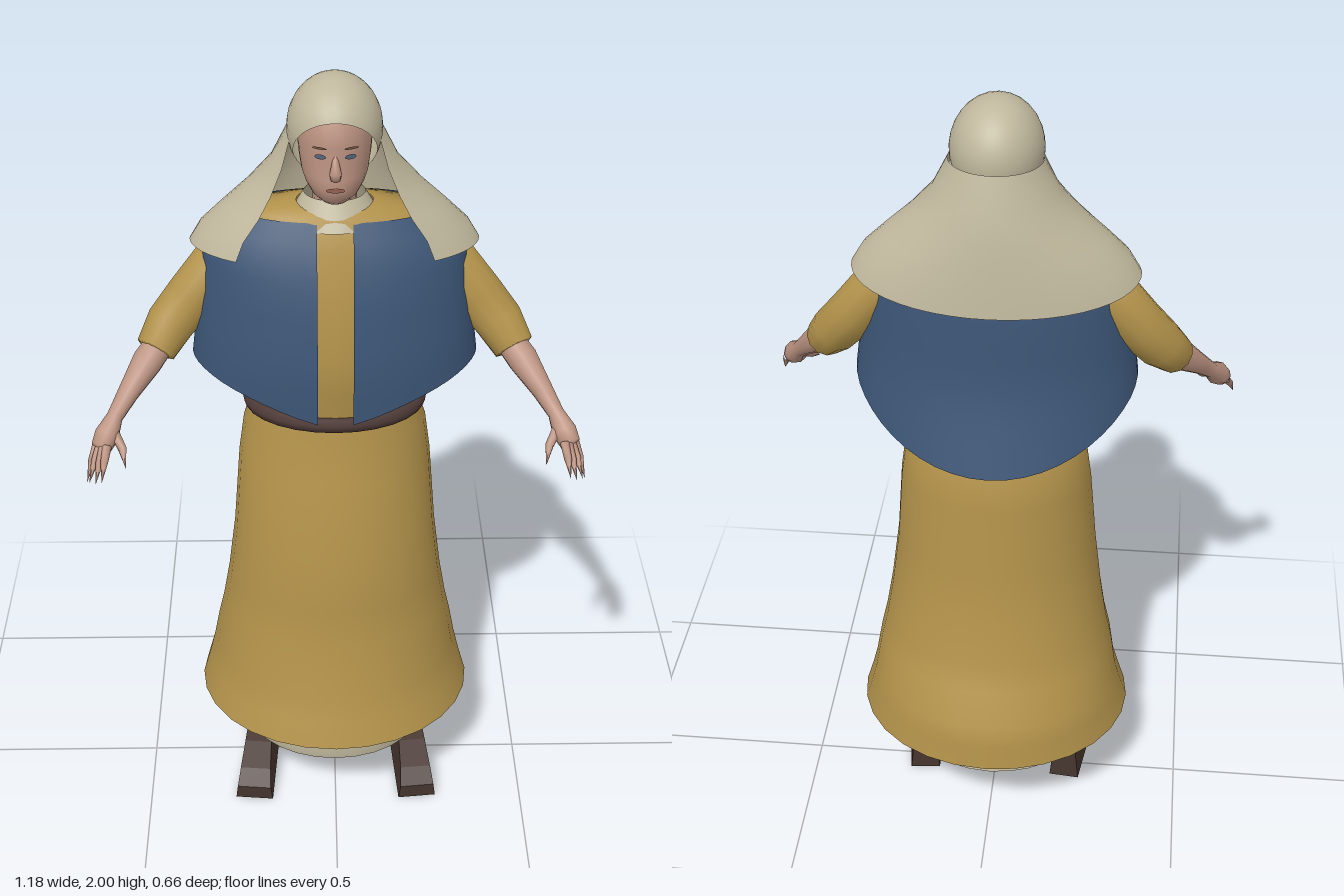
import * as THREE from 'three';

const mat = (name, color, side = THREE.FrontSide) => {
  const m = new THREE.MeshStandardMaterial({ color, side });
  m.name = name;
  return m;
};

// Surface through rows of points; rows run top to bottom, points counterclockwise from above
function loft(rows, closed = true) {
  const n = rows[0].length, pos = [], index = [];
  rows.forEach(r => r.forEach(p => pos.push(...p)));
  for (let i = 0; i < rows.length - 1; i++) {
    for (let j = 0; j < (closed ? n : n - 1); j++) {
      const k = (j + 1) % n, a = i * n + j, b = i * n + k, c = a + n, d = b + n;
      index.push(a, c, d, a, d, b);
    }
  }
  const g = new THREE.BufferGeometry();
  g.setAttribute('position', new THREE.Float32BufferAttribute(pos, 3));
  g.setIndex(index);
  g.computeVertexNormals();
  return g;
}

// Elliptical rings given as [y, half width, front z, back z]
function rings(list, sides = 28) {
  return loft(list.map(([y, rx, zf, zb]) => Array.from({ length: sides }, (_, j) => {
    const a = j / sides * Math.PI * 2;
    return [rx * Math.sin(a), y, (zf + zb) / 2 + (zf - zb) / 2 * Math.cos(a)];
  })));
}

// Tapered limb along points [x, y, z, radius]; s mirrors it in x
function limb(points, s = 1, sides = 10) {
  const P = points.map(p => new THREE.Vector3(p[0] * s, p[1], p[2]));
  return loft(P.map((p, i) => {
    const t = P[Math.min(i + 1, P.length - 1)].clone().sub(P[Math.max(i - 1, 0)]).normalize();
    const u = new THREE.Vector3(0, 0, 1).cross(t).normalize();
    const w = u.clone().cross(t);
    return Array.from({ length: sides }, (_, j) => {
      const a = j / sides * Math.PI * 2, r = points[i][3];
      return p.clone().addScaledVector(u, r * Math.cos(a)).addScaledVector(w, r * Math.sin(a)).toArray();
    });
  }));
}

// Interpolates a table of rows sorted by falling first entry
function sample(table, y) {
  let i = 0;
  while (i < table.length - 2 && table[i + 1][0] > y) i++;
  const f = THREE.MathUtils.clamp((y - table[i][0]) / (table[i + 1][0] - table[i][0]), 0, 1);
  return table[i].map((v, k) => v + (table[i + 1][k] - v) * f);
}

export function createModel() {
  const root = new THREE.Group();
  root.name = 'robedFigure';
  const D = THREE.DoubleSide;
  const gold = mat('gold cloth', 0xb3934b, D), cream = mat('cream linen', 0xbfb79c, D);
  const blue = mat('blue wool', 0x3b5474, D), skin = mat('skin', 0xbd9482);
  const leather = mat('dark leather', 0x46352f), strap = mat('belt leather', 0x4c3935);
  const iris = mat('eye', 0x53667a), lip = mat('lips', 0x94604f), brow = mat('brow', 0x765747);
  const add = (name, geo, m) => {
    const mesh = new THREE.Mesh(geo, m);
    mesh.name = name;
    root.add(mesh);
    return mesh;
  };

  // Skirt, underskirt, belt and bodice
  add('skirt', rings([[1.18, 0.2, 0.155, -0.14], [1.1, 0.226, 0.165, -0.175], [1.0, 0.24, 0.185, -0.195],
    [0.8, 0.256, 0.23, -0.2], [0.65, 0.275, 0.238, -0.225], [0.55, 0.292, 0.245, -0.25],
    [0.48, 0.308, 0.265, -0.27], [0.4, 0.322, 0.278, -0.318], [0.34, 0.337, 0.3, -0.325], [0.275, 0.356, 0.32, -0.332]]), gold);
  add('underskirt', rings([[0.42, 0.21, 0.19, -0.17], [0.28, 0.225, 0.205, -0.19],
    [0.2, 0.25, 0.222, -0.2], [0.15, 0.24, 0.215, -0.212]]), cream);
  add('belt', rings([[1.18, 0.19, 0.15, -0.13], [1.182, 0.218, 0.17, -0.15], [1.168, 0.227, 0.178, -0.157],
    [1.152, 0.222, 0.175, -0.155], [1.15, 0.2, 0.15, -0.14]]), strap);
  add('bodice', rings([[1.69, 0.09, 0.08, -0.06], [1.675, 0.2, 0.1, -0.09], [1.6, 0.25, 0.125, -0.11],
    [1.5, 0.24, 0.15, -0.12], [1.35, 0.19, 0.175, -0.12], [1.25, 0.178, 0.165, -0.12], [1.16, 0.185, 0.15, -0.13]]), gold);

  // Open-fronted cape with a hem that dips at front and back
  const capeShape = [[1.67, 0.235, 0.1, -0.1], [1.6, 0.31, 0.138, -0.13], [1.5, 0.32, 0.17, -0.145],
    [1.35, 0.338, 0.198, -0.16], [1.27, 0.348, 0.205, -0.178], [1.12, 0.35, 0.208, -0.225]];
  const capeRows = [];
  for (let i = 0; i <= 10; i++) {
    capeRows.push(Array.from({ length: 49 }, (_, j) => {
      const a = 0.14 + (j / 48) * (Math.PI * 2 - 0.28), c = Math.cos(a);
      const hem = c > 0 ? 1.175 + 0.125 * Math.abs(Math.sin(a)) : 1.3 - 0.18 * Math.pow(-c, 1.4);
      const y = THREE.MathUtils.lerp(1.67, hem, i / 10);
      const [, rx, zf, zb] = sample(capeShape, y);
      const x = j % 48 ? rx * Math.sin(a) : 0.042 * (j ? -1 : 1);
      return [x, y, (zf + zb) / 2 + (zf - zb) / 2 * c];
    }));
  }
  add('cape', loft(capeRows, false), blue);

  // Veil: [y, half width, front depth, back depth, front opening in degrees]
  const veilShape = [[1.865, 0.11, 0.14, 0.1, 65], [1.79, 0.148, 0.14, 0.128, 55], [1.73, 0.205, 0.142, 0.145, 46],
    [1.68, 0.262, 0.152, 0.155, 42], [1.63, 0.315, 0.168, 0.165, 42], [1.585, 0.342, 0.182, 0.172, 42]];
  add('veil', loft(veilShape.map(([y, rx, f, b, deg], i) => Array.from({ length: 37 }, (_, j) => {
    const a0 = deg * Math.PI / 180, a = a0 + (j / 36) * 2 * (Math.PI - a0), c = Math.cos(a);
    return [rx * Math.sin(a), y + Math.min(c, 0) * 0.045 * i / 5, -0.012 + (c > 0 ? f : b) * c];
  })), false), cream);

  // Rounded cap, open around the face
  const open = Math.PI / 3;
  const cap = new THREE.SphereGeometry(1, 28, 16, 0, Math.PI * 2, open, Math.PI - open);
  cap.rotateX(Math.PI / 2 + 0.61).scale(0.11, 0.125, 0.127).translate(0, 1.875, 0.018);
  add('cap', cap, cream);
  add('collar', rings([[1.715, 0.072, 0.075, -0.05], [1.69, 0.088, 0.09, -0.06], [1.65, 0.11, 0.115, -0.08]]), cream);

  // Head, neck and face
  add('head', rings([[1.975, 0, 0.04, 0.04], [1.955, 0.06, 0.1, -0.04], [1.92, 0.082, 0.13, -0.06],
    [1.87, 0.086, 0.134, -0.065], [1.83, 0.083, 0.132, -0.06], [1.79, 0.077, 0.136, -0.05], [1.765, 0.068, 0.137, -0.04],
    [1.74, 0.054, 0.128, -0.02], [1.722, 0.036, 0.108, 0], [1.715, 0, 0.06, 0.06]], 24), skin);
  add('neck', rings([[1.77, 0.048, 0.075, -0.04], [1.64, 0.055, 0.08, -0.05]], 16), skin);
  add('nose', limb([[0, 1.855, 0.13, 0], [0, 1.84, 0.132, 0.007], [0, 1.812, 0.143, 0.014], [0, 1.8, 0.138, 0.012], [0, 1.797, 0.132, 0]]), skin);
  const plate = (name, x, y, z, w, h, m) => {
    const p = add(name, new THREE.CircleGeometry(1, 12), m);
    p.scale.set(w, h, 1);
    p.position.set(x, y, z);
    p.rotation.y = x * 11;
  };
  for (const s of [1, -1]) {
    plate('eye', s * 0.034, 1.848, 0.129, 0.014, 0.006, iris);
    plate('eyebrow', s * 0.036, 1.869, 0.13, 0.018, 0.003, brow);
  }
  plate('mouth', 0, 1.77, 0.1395, 0.022, 0.006, lip);

  for (const s of [1, -1]) {
    // Sleeve, forearm and hand
    add('sleeve', limb([[0.2, 1.58, -0.01, 0.05], [0.28, 1.515, -0.005, 0.066], [0.34, 1.44, 0.005, 0.064],
      [0.395, 1.375, 0.025, 0.06], [0.43, 1.325, 0.065, 0.05], [0.432, 1.322, 0.068, 0.035]], s, 12), gold);
    add('forearm', limb([[0.4, 1.36, 0.04, 0.035], [0.45, 1.305, 0.09, 0.038], [0.495, 1.25, 0.145, 0.026],
      [0.525, 1.21, 0.185, 0.02], [0.543, 1.18, 0.22, 0.03], [0.556, 1.16, 0.242, 0.025], [0.56, 1.155, 0.248, 0]], s), skin);
    [[0.59, 1.09, 0.285], [0.582, 1.1, 0.305], [0.566, 1.105, 0.32], [0.55, 1.115, 0.328]].forEach(([x, y, z], i) => {
      const bx = 0.567 - i * 0.009, by = 1.16 + i * 0.004, bz = 0.225 + i * 0.011;
      add('finger', limb([[bx, by, bz, 0.011], [(bx + x) / 2, (by + y) / 2 + 0.006, (bz + z) / 2, 0.009], [x, y, z, 0]], s, 6), skin);
    });
    add('thumb', limb([[0.53, 1.19, 0.21, 0.014], [0.505, 1.16, 0.25, 0.011], [0.495, 1.13, 0.292, 0]], s, 6), skin);

    // Ankle and shoe
    add('ankle', limb([[0.205, 0.4, -0.02, 0.045], [0.207, 0.2, -0.022, 0.032], [0.208, 0.1, -0.02, 0.03]], s), skin);
    const side = new THREE.Shape([[-0.055, 0], [0.205, 0], [0.207, 0.04], [0.17, 0.075], [0.1, 0.11], [0.03, 0.132], [-0.052, 0.126]]
      .map(p => new THREE.Vector2(...p)));
    const shoe = new THREE.ExtrudeGeometry(side, { depth: 0.1, bevelEnabled: false }).translate(0, 0, -0.05).rotateY(-Math.PI / 2);
    const v = shoe.attributes.position;
    for (let i = 0; i < v.count; i++) {
      v.setX(i, v.getX(i) * (1 - 2.6 * v.getY(i)) * (v.getZ(i) < 0 ? 0.8 : 1));
    }
    shoe.computeVertexNormals();
    const mesh = add('shoe', shoe, leather);
    mesh.position.x = s * 0.2;
    mesh.rotation.y = s * 0.1;
  }
  return root;
}
